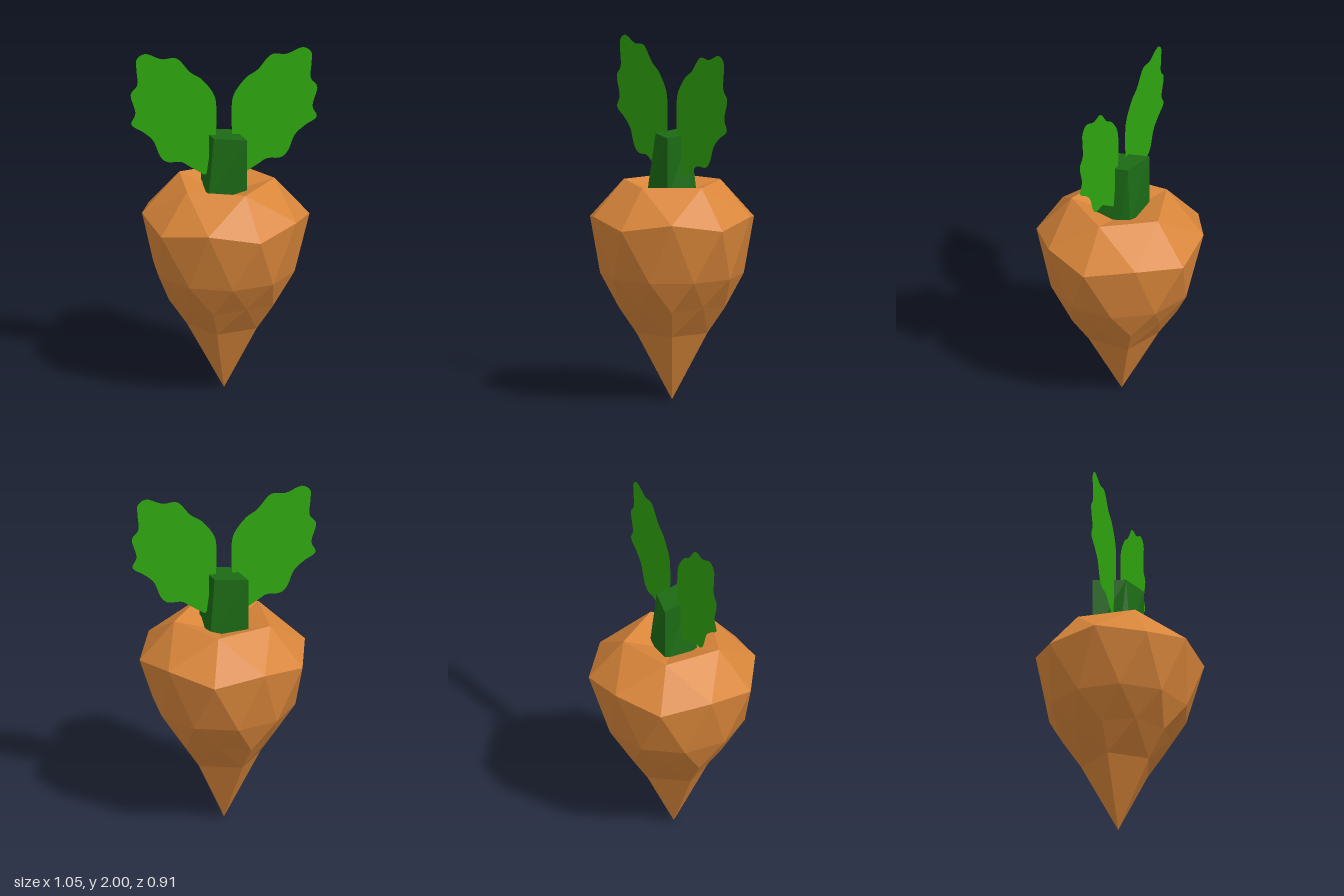
import * as THREE from 'three';

const mat = (color, extra = {}) => new THREE.MeshStandardMaterial({ color, flatShading: true, ...extra });

function add(group, name, geometry, material) {
  const mesh = new THREE.Mesh(geometry, material);
  mesh.name = name;
  group.add(mesh);
}

// Root: a subdivided icosahedron standing on a vertex, each ring moved to a new radius and height
function rootGeometry() {
  const rings = [ // [height on unit sphere, radius, height]
    [1, 0, 1.145], [0.851, 0.283, 1.23],
    [0.526, 0.46, 1.055], [0.447, 0.48, 1.01],
    [0, 0.4, 0.715],
    [-0.447, 0.31, 0.535], [-0.526, 0.295, 0.56],
    [-0.851, 0.207, 0.385], [-1, 0, 0],
  ];
  const geo = new THREE.IcosahedronGeometry(1, 1);
  geo.rotateZ(Math.atan(2 / (1 + Math.sqrt(5)))).rotateY(Math.PI);
  const p = geo.attributes.position;
  for (let i = 0; i < p.count; i++) {
    const y = p.getY(i);
    const ring = rings.reduce((a, b) => (Math.abs(b[0] - y) < Math.abs(a[0] - y) ? b : a));
    const angle = Math.atan2(p.getZ(i), p.getX(i));
    p.setXYZ(i, ring[1] * Math.cos(angle), ring[2], ring[1] * Math.sin(angle));
  }
  geo.computeVertexNormals();
  return geo;
}

// Stem: six-sided foot tapering to a diamond top
function stemGeometry() {
  const foot = [[-0.115, -0.115], [-0.115, 0.047], [-0.1, 0.1], [0.115, 0.115], [0.115, -0.047], [0.1, -0.1]];
  const top = [[-0.115, -0.115], [-0.065, 0.065], [-0.065, 0.065], [0.115, 0.115], [0.068, -0.072], [0.068, -0.072]];
  const low = 1.15, high = 1.5, pos = [];
  const tri = (...corners) => corners.forEach(([[x, z], y]) => pos.push(x, y, z));
  for (let i = 0; i < 6; i++) {
    const j = (i + 1) % 6;
    tri([foot[i], low], [foot[j], low], [top[j], high]);
    if (top[i] !== top[j]) tri([foot[i], low], [top[j], high], [top[i], high]);
    tri([[0, 0], high], [top[i], high], [top[j], high]);
    tri([[0, 0], low], [foot[j], low], [foot[i], low]);
  }
  const geo = new THREE.BufferGeometry();
  geo.setAttribute('position', new THREE.Float32BufferAttribute(pos, 3));
  geo.computeVertexNormals();
  return geo;
}

// Leaf: thin flat sheet with a wavy outline
function leafGeometry(side) {
  const outline = [
    [0.11, 1.265], [0.195, 1.32], [0.243, 1.348], [0.317, 1.35], [0.36, 1.39], [0.397, 1.48],
    [0.455, 1.535], [0.52, 1.582], [0.497, 1.65], [0.524, 1.757], [0.487, 1.815], [0.492, 1.91],
    [0.49, 1.968], [0.44, 1.998], [0.35, 1.963], [0.265, 1.963], [0.19, 1.878], [0.122, 1.83],
    [0.055, 1.735], [0.042, 1.63], [0.045, 1.5], [0.05, 1.3],
  ].map(([x, y]) => new THREE.Vector2(side * x, y));
  const shape = new THREE.Shape();
  shape.moveTo(outline[0].x, outline[0].y);
  shape.splineThru(outline.slice(1));
  return new THREE.ShapeGeometry(shape, 5);
}

export function createModel() {
  const group = new THREE.Group();
  group.name = 'rootVegetable';
  add(group, 'root', rootGeometry(), mat(0xd9863a));
  add(group, 'stem', stemGeometry(), mat(0x1b6a15));
  const leafMat = mat(0x2fa60f, { side: THREE.DoubleSide });
  add(group, 'leftLeaf', leafGeometry(1), leafMat);
  add(group, 'rightLeaf', leafGeometry(-1), leafMat);
  return group;
}
